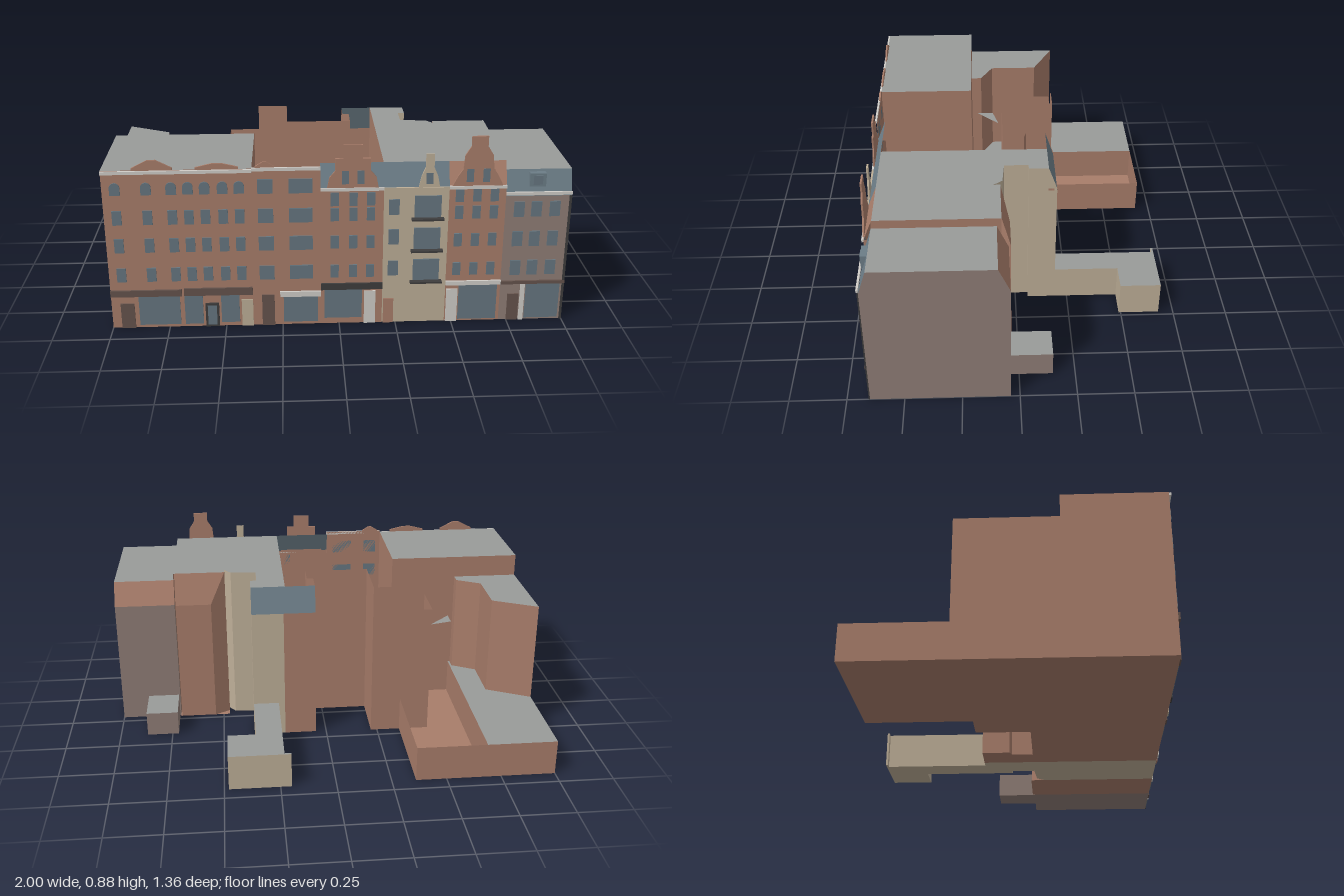
import * as THREE from 'three';

const mat = (name, color) => {
  const m = new THREE.MeshStandardMaterial({ color, side: THREE.DoubleSide, flatShading: true });
  m.name = name;
  return m;
};

export function createModel() {
  const root = new THREE.Group();
  root.name = 'rowOfTownhouses';
  const brick = mat('brick', 0xa87d6a), mauve = mat('mauveBrick', 0x8f7d76), tan = mat('sandstone', 0xbdae97);
  const grey = mat('flatRoofGrey', 0x999b99), slate = mat('slate', 0x6c7d87), glass = mat('windowGlass', 0x667680);
  const dark = mat('darkMetal', 0x3e3d3d), white = mat('whiteTrim', 0xd0cdc8), brown = mat('shopBrown', 0x65534c);
  const F = 0.65; // street facade plane

  const add = (name, geo, material) => {
    const m = new THREE.Mesh(geo, material);
    m.name = name;
    root.add(m);
    return m;
  };
  // surface between two plan lines [x, z] at two heights
  const loft = (name, a, ya, b, yb, material) => {
    const p = [];
    for (let i = 0; i < a.length - 1; i++) {
      const A = [a[i][0], ya, a[i][1]], B = [a[i + 1][0], ya, a[i + 1][1]];
      const C = [b[i + 1][0], yb, b[i + 1][1]], D = [b[i][0], yb, b[i][1]];
      p.push(...A, ...B, ...C, ...A, ...C, ...D);
    }
    const g = new THREE.BufferGeometry();
    g.setAttribute('position', new THREE.Float32BufferAttribute(p, 3));
    g.computeVertexNormals();
    return add(name, g, material);
  };
  const walls = (name, pts, y0, y1, material) => loft(name, pts, y0, pts, y1, material);
  const slab = (name, pts, y, material) => {
    const g = new THREE.ShapeGeometry(new THREE.Shape(pts.map(([x, z]) => new THREE.Vector2(x, -z))));
    g.rotateX(-Math.PI / 2).translate(0, y, 0);
    return add(name, g, material);
  };
  const rect = (x0, x1, z0, z1) => [[x0, z1], [x1, z1], [x1, z0], [x0, z0]];
  const block = (name, pts, h, wall, roof) => {
    walls(name + 'Walls', [...pts, pts[0]], 0, h, wall);
    slab(name + 'Floor', pts, 0, wall);
    if (roof) slab(name + 'Roof', pts, h, roof);
  };
  // facade plate, thin box on the street side
  const plate = (name, x0, x1, y0, y1, material, t = 0.006, z = F) => {
    const g = new THREE.BoxGeometry(x1 - x0, y1 - y0, t);
    g.translate((x0 + x1) / 2, (y0 + y1) / 2, z + t / 2);
    return add(name, g, material);
  };
  const outline = (name, pts, material, z = F, t = 0.008) => {
    const s = new THREE.Shape(pts.map(([x, y]) => new THREE.Vector2(x, y)));
    const g = new THREE.ExtrudeGeometry(s, { depth: t, bevelEnabled: false });
    return add(name, g.translate(0, 0, z), material);
  };
  const windows = (name, xs, ys, w, h) => {
    for (const x of xs) for (const y of ys) plate(name, x - w / 2, x + w / 2, y - h / 2, y + h / 2, glass);
  };

  // left brick house with its rear wing
  block('leftHouse', rect(-1, -0.37, 0.2, F), 0.745, brick, grey);
  block('leftRearWing', [[-1, 0.2], [-1, -0.24], [-0.8, -0.14], [-0.8, 0.09], [-0.69, 0.15], [-0.69, 0.2]].reverse(), 0.64, brick, grey);

  // low annex, half roofed and half open yard
  walls('annexWalls', [[-1, 0.2], [-1, -0.68], [-0.36, -0.68], [-0.36, -0.2]], 0, 0.165, brick);
  slab('annexRoof', rect(-1, -0.68, -0.68, 0.2), 0.165, grey);
  walls('annexInnerWall', [[-0.68, -0.68], [-0.68, 0.2]], 0, 0.165, brick);
  slab('annexFloor', rect(-1, -0.36, -0.68, 0.2), 0, brick);
  slab('yardCanopy', [[-0.66, 0.17], [-0.55, 0.06], [-0.66, 0.09]], 0.44, grey);

  // roofless brick middle houses
  slab('middleFloor', [[-0.37, F], [0.19, F], [0.19, -0.19], [0.05, -0.19], [0.05, -0.06], [0.08, -0.05],
    [0.08, 0.05], [-0.22, 0.05], [-0.22, -0.2], [-0.37, -0.2]], 0, brick);
  walls('middleFront', [[-0.37, F], [-0.08, F]], 0, 0.75, brick);
  walls('gabledFront', [[-0.08, F], [0.19, F]], 0, 0.65, brick);
  walls('middleRearWalls', [[-0.36, -0.2], [-0.22, -0.2], [-0.22, 0.05], [0.08, 0.05], [0.08, -0.05], [0.05, -0.06], [0.05, -0.15]], 0, 0.75, brick);
  walls('yardWalls', [[-0.36, -0.2], [-0.5, -0.2], [-0.5, 0]], 0, 0.63, brick);
  walls('partyWall', [[0.19, 0.61], [0.19, -0.15]], 0, 0.75, brick);
  walls('rearBrickWall', [[0.05, -0.15], [0.05, -0.19], [0.2, -0.19]], 0, 0.63, brick);

  // sandstone house
  const rear = [[0.47, 0.1], [0.44, 0.06], [0.32, 0.05], [0.32, -0.06], [0.35, -0.06], [0.35, -0.15]];
  walls('sandstoneFront', [[0.19, F], [0.47, F]], 0, 0.65, tan);
  walls('sandstoneRear', rear, 0, 0.75, tan);
  walls('sandstoneBackWall', [[0.35, -0.15], [0.35, -0.19], [0.2, -0.19]], 0, 0.63, tan);
  slab('sandstoneRoof', [[0.19, 0.61], [0.47, 0.61], ...rear, [0.19, -0.15]], 0.75, grey);
  slab('sandstoneFloor', [[0.19, F], [0.47, F], ...rear, [0.35, -0.19], [0.19, -0.19]], 0, tan);
  loft('rearMansard', [[0.05, -0.19], [0.35, -0.19]], 0.63, [[0.05, -0.15], [0.35, -0.15]], 0.75, slate);
  loft('frontMansard', [[-0.08, F], [0.47, F]], 0.65, [[-0.08, 0.61], [0.47, 0.61]], 0.75, slate);
  // mansard cheeks
  for (const [x, z0, z1, m] of [[-0.08, F, 0.61, brick], [0.47, F, 0.61, brick], [0.05, -0.19, -0.15, brick], [0.35, -0.19, -0.15, tan]])
    loft('mansardCheek', [[x, z0], [x, z1]], 0.64, [[x, z1], [x, z1]], 0.75, m);
  block('sandstoneAnnex', [[0.23, -0.19], [0.35, -0.19], [0.35, -0.49], [0.48, -0.49], [0.48, -0.68], [0.2, -0.68], [0.2, -0.67], [0.23, -0.67]], 0.165, tan, grey);

  // second gabled brick house
  const brickBack = [[0.71, 0.03], [0.54, 0.03], [0.47, 0.07]];
  const brickTop = [[0.71, 0.07], [0.54, 0.07], [0.47, 0.07]];
  walls('rightBrickWalls', [[0.47, 0.07], [0.47, 0.61]], 0, 0.75, brick);
  walls('rightBrickFront', [[0.47, 0.61], [0.47, F], [0.715, F], [0.715, 0.61]], 0, 0.65, brick);
  walls('rightBrickSide', [[0.715, 0.61], [0.715, 0.07]], 0, 0.75, brick);
  walls('rightBrickBack', brickBack, 0, 0.6, brick);
  loft('rightBrickBackSlope', brickBack, 0.6, brickTop, 0.75, brick);
  loft('rightBrickFrontSlope', [[0.47, F], [0.715, F]], 0.65, [[0.47, 0.61], [0.715, 0.61]], 0.75, brick);
  slab('rightBrickRoof', rect(0.47, 0.715, 0.07, 0.61), 0.75, grey);
  slab('rightBrickFloor', rect(0.47, 0.715, 0.03, F), 0, brick);

  // mauve corner house
  block('cornerHouse', rect(0.715, 1, 0.04, F), 0.6, mauve, null);
  for (const x of [0.715, 1]) outlineSide(x);
  function outlineSide(x) {
    loft('cornerGableSide', [[x, F], [x, 0.04]], 0.6, [[x, 0.615], [x, 0.09]], 0.71, mauve);
  }
  loft('cornerFrontSlope', [[0.715, F], [1, F]], 0.6, [[0.715, 0.615], [1, 0.615]], 0.71, slate);
  loft('cornerBackSlope', [[0.715, 0.04], [1, 0.04]], 0.6, [[0.715, 0.09], [1, 0.09]], 0.71, brick);
  slab('cornerRoof', rect(0.715, 1, 0.09, 0.615), 0.71, grey);
  block('cornerAnnex', rect(0.72, 0.87, -0.15, 0.04), 0.115, mauve, grey);
  plate('dormer', 0.815, 0.885, 0.64, 0.7, slate, 0.03, 0.615);
  plate('dormerWindow', 0.83, 0.87, 0.65, 0.69, glass, 0.004, 0.645);

  // gables above the street
  for (const [x, w, h] of [[-0.785, 0.085, 0.79], [-0.515, 0.09, 0.772], [-0.315, 0.04, 0.775]])
    outline('lowGable', [[x - w, 0.745], [x + w, 0.745], [x + w, 0.755], [x + w * 0.2, h], [x - w * 0.2, h], [x - w, 0.755]], brick, F - 0.004);
  const gable = (name, x, steps, material) => outline(name,
    [...steps.map(([w, y]) => [x + w, y]), ...steps.map(([w, y]) => [x - w, y]).reverse()], material, F - 0.003);
  gable('steppedGable', 0.057, [[0.11, 0.65], [0.1, 0.7], [0.075, 0.73], [0.075, 0.785], [0.04, 0.785], [0.04, 0.845]], brick);
  gable('sandstoneGable', 0.383, [[0.045, 0.65], [0.035, 0.7], [0.018, 0.74], [0.018, 0.8]], tan);
  gable('tallGable', 0.59, [[0.11, 0.65], [0.085, 0.7], [0.065, 0.73], [0.06, 0.79], [0.035, 0.83], [0.035, 0.875]], brick);
  windows('gableWindow', [0.025, 0.09, 0.555, 0.625], [0.7], 0.03, 0.06);
  windows('gableWindow', [0.383], [0.69], 0.03, 0.05);

  // upper windows
  const rows = [0.26, 0.4, 0.53], all = [...rows, 0.665];
  const leftCols = [-0.945, -0.815, -0.71, -0.64, -0.57, -0.495, -0.425];
  windows('leftWindow', leftCols, rows, 0.04, 0.065);
  for (const x of leftCols) {
    const s = new THREE.Shape();
    s.moveTo(x - 0.022, 0.635).lineTo(x + 0.022, 0.635).lineTo(x + 0.022, 0.668);
    s.absarc(x, 0.668, 0.022, 0, Math.PI, false);
    add('archedWindow', new THREE.ExtrudeGeometry(s, { depth: 0.006, bevelEnabled: false, curveSegments: 5 }).translate(0, 0, F), glass);
  }
  windows('middleWindow', [-0.315], all, 0.065, 0.065);
  windows('middleWideWindow', [-0.165], all, 0.1, 0.065);
  windows('gabledHouseWindow', [-0.02, 0.06, 0.135], [0.26, 0.4, 0.53, 0.6], 0.035, 0.06);
  windows('sandstoneWindow', [0.235], [0.27, 0.42, 0.56], 0.045, 0.07);
  windows('sandstoneWideWindow', [0.38], [0.26, 0.41, 0.56], 0.115, 0.1);
  windows('rightBrickWindow', [0.515, 0.59, 0.665], [0.26, 0.4, 0.53, 0.61], 0.035, 0.06);
  windows('cornerWindow', [0.775, 0.85, 0.93], [0.26, 0.4, 0.54], 0.045, 0.07);

  // cornices and balconies
  for (const [x0, x1, y] of [[-1, -0.37, 0.735], [-0.37, -0.08, 0.742], [-0.08, 0.19, 0.645], [0.47, 0.715, 0.645], [0.715, 1, 0.612]])
    plate('cornice', x0, x1, y - 0.006, y + 0.008, white, 0.009);
  plate('sandstoneCornice', 0.19, 0.47, 0.635, 0.65, tan, 0.009);
  for (const y of [0.2, 0.35, 0.5]) plate('balcony', 0.31, 0.45, y, y + 0.008, dark, 0.025);
  plate('cornerDownpipe', 0.99, 1, 0, 0.6, dark);

  // ground floor shops
  for (const [x0, x1, y0, y1, m] of [
    [-1, -0.69, 0.155, 0.185, brown], [-0.68, -0.38, 0.155, 0.19, brown], [-0.08, 0.19, 0.17, 0.2, dark], [-0.26, -0.08, 0.14, 0.165, white],
    [0.715, 1, 0.18, 0.195, brown], [0.47, 0.715, 0.18, 0.2, white]]) plate('shopSign', x0, x1, y0, y1, m, 0.009);
  for (const [x0, x1, y0, y1] of [[-0.88, -0.7, 0.015, 0.155], [-0.68, -0.6, 0.015, 0.155], [-0.52, -0.44, 0.02, 0.155], [-0.245, -0.095, 0.015, 0.14],
    [-0.065, 0.1, 0.03, 0.17], [0.53, 0.7, 0.01, 0.18], [0.83, 0.98, 0.01, 0.18]]) plate('shopWindow', x0, x1, y0, y1, glass);
  for (const [x0, x1, y1, m] of [[-0.96, -0.9, 0.12, brown], [-0.59, -0.53, 0.115, dark], [-0.43, -0.38, 0.13, tan], [-0.34, -0.285, 0.15, brown],
    [0.11, 0.16, 0.16, white], [0.195, 0.24, 0.12, brick], [0.475, 0.525, 0.16, white], [0.75, 0.8, 0.13, brown], [0.805, 0.825, 0.18, white]])
    plate('door', x0, x1, 0, y1, m);
  plate('doorGlass', -0.58, -0.54, 0.01, 0.105, glass, 0.008);
  return root;
}
